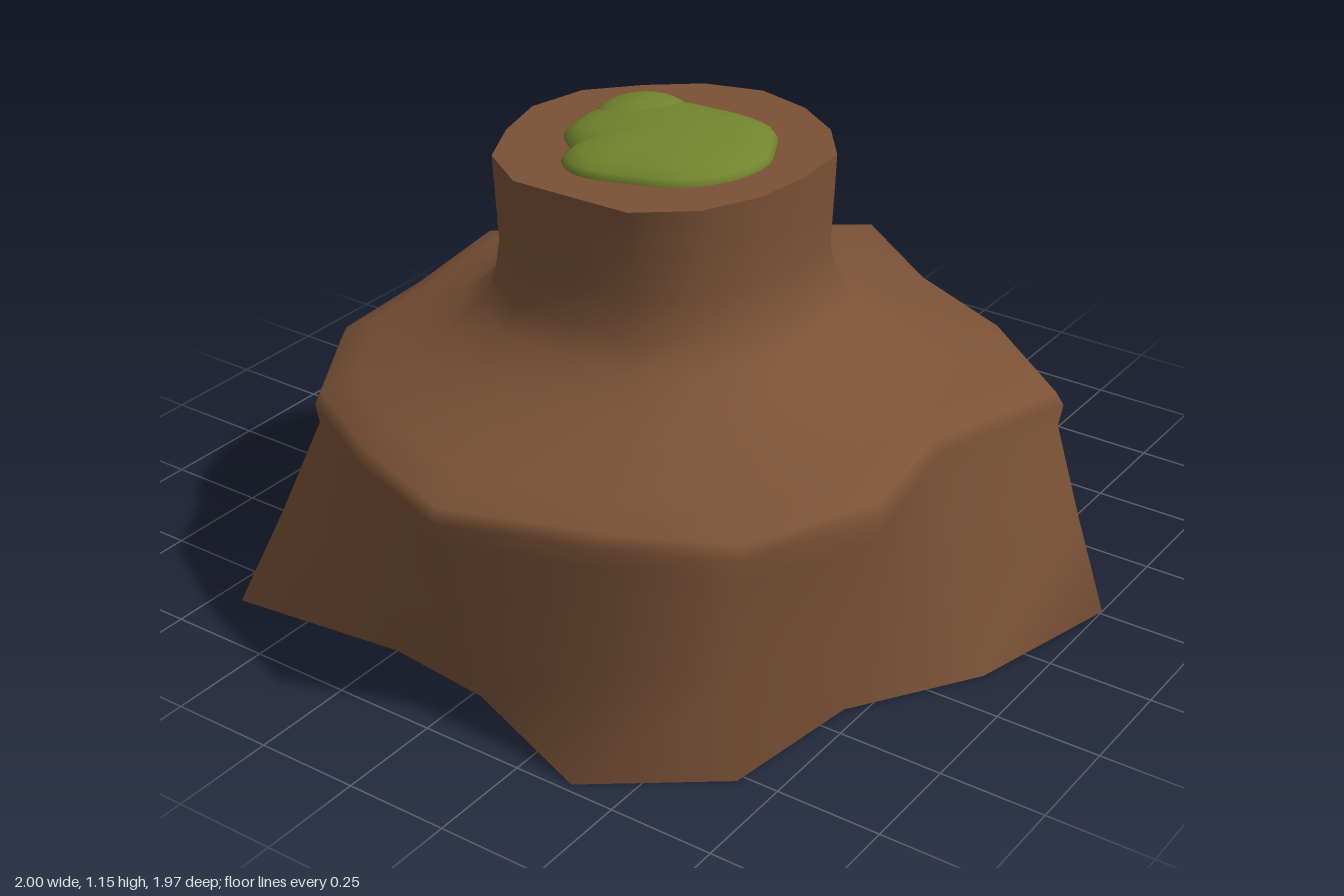
import * as THREE from 'three';

// Skin a stack of closed rings (arrays of Vector3, clockwise seen from above, bottom to top).
function loft(rings) {
  const n = rings[0].length;
  const pos = rings.flat().flatMap((p) => [p.x, p.y, p.z]);
  const index = [];
  for (let i = 0; i < rings.length - 1; i++) {
    for (let j = 0; j < n; j++) {
      const a = i * n + j, b = i * n + (j + 1) % n, c = a + n, d = b + n;
      index.push(a, c, b, b, c, d);
    }
  }
  const g = new THREE.BufferGeometry();
  g.setAttribute('position', new THREE.Float32BufferAttribute(pos, 3));
  g.setIndex(index);
  g.computeVertexNormals();
  return g;
}

const CX = 0.03, CZ = 0.12;

// Plan outlines, 16 columns starting at the back and turning towards +x
const BASE = [
  [0.04, -0.99], [0.33, -0.71], [0.54, -0.33], [1.0, -0.26],
  [0.9, 0.13], [0.71, 0.42], [0.66, 0.77], [0.38, 0.98],
  [0.02, 0.84], [-0.25, 0.81], [-0.69, 0.86], [-0.75, 0.46],
  [-0.67, 0.1], [-1.0, -0.29], [-0.58, -0.48], [-0.21, -0.5],
];
const SHOULDER = [
  [0.03, -0.8], [0.31, -0.59], [0.6, -0.45], [0.88, -0.22],
  [0.76, 0.13], [0.8, 0.44], [0.65, 0.75], [0.38, 0.87],
  [0.03, 0.98], [-0.27, 0.87], [-0.54, 0.72], [-0.72, 0.43],
  [-0.74, 0.13], [-0.79, -0.21], [-0.54, -0.4], [-0.27, -0.59],
];
const NECK_RADII = [0.38, 0.37, 0.37, 0.38, 0.36, 0.37, 0.39, 0.4,
  0.37, 0.4, 0.4, 0.38, 0.39, 0.385, 0.36, 0.37];
const NECK = NECK_RADII.map((r, j) => {
  const a = (j / 16) * Math.PI * 2;
  return [CX + r * Math.sin(a), CZ - r * Math.cos(a)];
});

// Ring at height y, blended from outline A to B, scaled about the trunk axis, tilted along x
function ring(y, A, B, t, s = 1, tilt = 0) {
  return A.map(([x, z], j) => {
    const px = CX + (x + (B[j][0] - x) * t - CX) * s;
    const pz = CZ + (z + (B[j][1] - z) * t - CZ) * s;
    return new THREE.Vector3(px, y + tilt * px, pz);
  });
}

export function createModel() {
  const group = new THREE.Group();
  const bark = new THREE.MeshStandardMaterial({ color: 0x7a5237, side: THREE.DoubleSide });
  bark.name = 'bark brown';
  const moss = new THREE.MeshStandardMaterial({ color: 0x72842d });
  moss.name = 'moss green';

  const add = (name, geometry, material) => {
    const mesh = new THREE.Mesh(geometry, material);
    mesh.name = name;
    group.add(mesh);
    return mesh;
  };

  // Flared root skirt, sloping shoulder and neck in one smooth skin, open underneath
  add('trunk', loft([
    ring(0, BASE, SHOULDER, 0),
    ring(0.24, BASE, SHOULDER, 0.56),
    ring(0.47, BASE, SHOULDER, 1, 0.99, 0.01),
    ring(0.52, SHOULDER, NECK, 0, 1, 0.015),
    ring(0.55, SHOULDER, NECK, 0, 0.98, 0.015),
    ring(0.58, SHOULDER, NECK, 0.22, 1, 0.01),
    ring(0.625, SHOULDER, NECK, 0.5),
    ring(0.675, SHOULDER, NECK, 0.74),
    ring(0.73, SHOULDER, NECK, 0.91),
    ring(0.79, SHOULDER, NECK, 0.99),
    ring(0.88, NECK, NECK, 0, 0.975),
    ring(1.0, NECK, NECK, 0, 0.99),
    ring(1.09, NECK, NECK, 0, 1, 0.01),
  ]), bark);

  // Flat cut top
  add('cutTop', loft([
    ring(1.09, NECK, NECK, 0, 1, 0.01),
    ring(1.09, NECK, NECK, 0, 0, 0.01),
  ]), bark);

  // Moss cushion: domed rings of a wavy outline
  const outline = new THREE.CatmullRomCurve3([
    [-0.2, 0.05], [-0.13, -0.04], [0.03, -0.07], [0.19, -0.06], [0.26, 0.04], [0.29, 0.12], [0.27, 0.23],
    [0.2, 0.32], [0.08, 0.37], [-0.03, 0.39], [-0.1, 0.35], [-0.12, 0.29], [-0.19, 0.22],
  ].map(([x, z]) => new THREE.Vector3(x, 0, z)), true).getPoints(52).slice(0, -1);
  const dome = [[0.98, 1.075], [1, 1.092], [0.96, 1.107], [0.85, 1.122], [0.65, 1.135], [0.35, 1.143], [0, 1.146]];
  add('mossCushion', loft(dome.map(([s, y]) => outline.map((p) =>
    new THREE.Vector3(0.04 + (p.x - 0.04) * s, y, 0.15 + (p.z - 0.15) * s)))), moss);

  // Smaller rounded tufts
  const tuft = (name, x, y, z, sx, sy, sz) => {
    const m = add(name, new THREE.SphereGeometry(1, 24, 14), moss);
    m.position.set(x, y, z);
    m.scale.set(sx, sy, sz);
  };
  tuft('mossTuft', -0.088, 1.1, 0.06, 0.11, 0.047, 0.12);
  tuft('hiddenMossTuft', 0.45, 0.49, 0.32, 0.1, 0.05, 0.1);

  return group;
}
